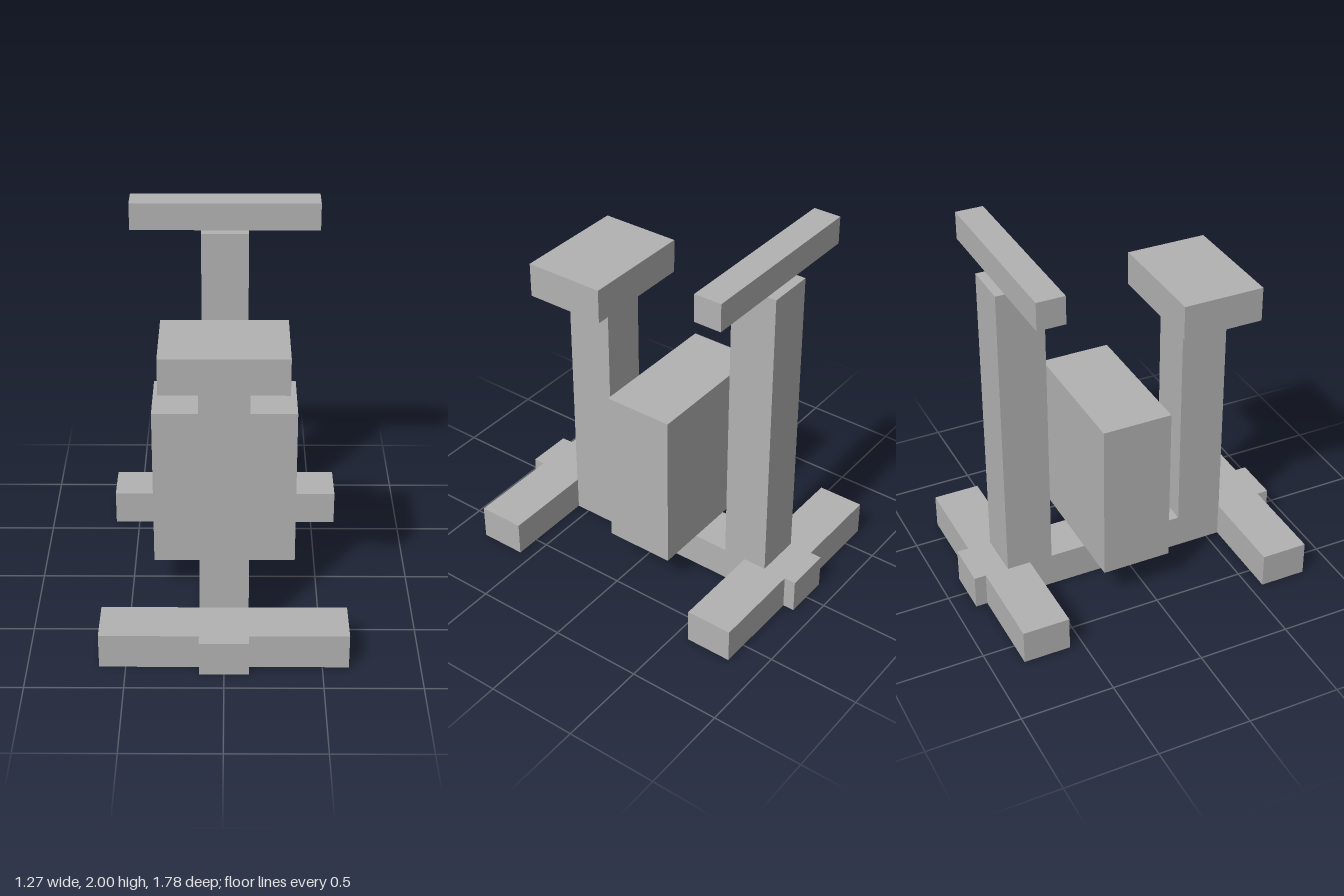
import * as THREE from 'three';

export function createModel() {
  const group = new THREE.Group();
  const grey = new THREE.MeshStandardMaterial({ color: 0xb2b2b2 });
  grey.name = 'plain grey';

  // Block centred on x = 0, given its width and its y and z ranges
  function block(name, width, y0, y1, z0, z1) {
    const mesh = new THREE.Mesh(new THREE.BoxGeometry(width, y1 - y0, z1 - z0), grey);
    mesh.name = name;
    mesh.position.set(0, (y0 + y1) / 2, (z0 + z1) / 2);
    group.add(mesh);
  }

  const beam = 0.253;
  const railTop = 0.19;

  // Base: long rail with a cross foot near each end
  block('baseRail', beam, 0, railTop, -0.89, 0.89);
  block('frontFoot', 1.27, 0, railTop, 0.573, 0.827);
  block('backFoot', 1.27, 0, railTop, -0.827, -0.573);

  // Seat on its post
  block('seatPost', beam, railTop, 1.47, 0.32, 0.575);
  block('seat', 0.635, 1.47, 1.66, 0.223, 0.668);

  // Central housing
  block('housing', 0.76, railTop, 1.085, -0.253, 0.127);

  // Handlebar on its post
  block('handlebarPost', beam, railTop, 1.85, -0.7, -0.447);
  block('handlebar', 1.013, 1.85, 2, -0.65, -0.5);

  return group;
}
